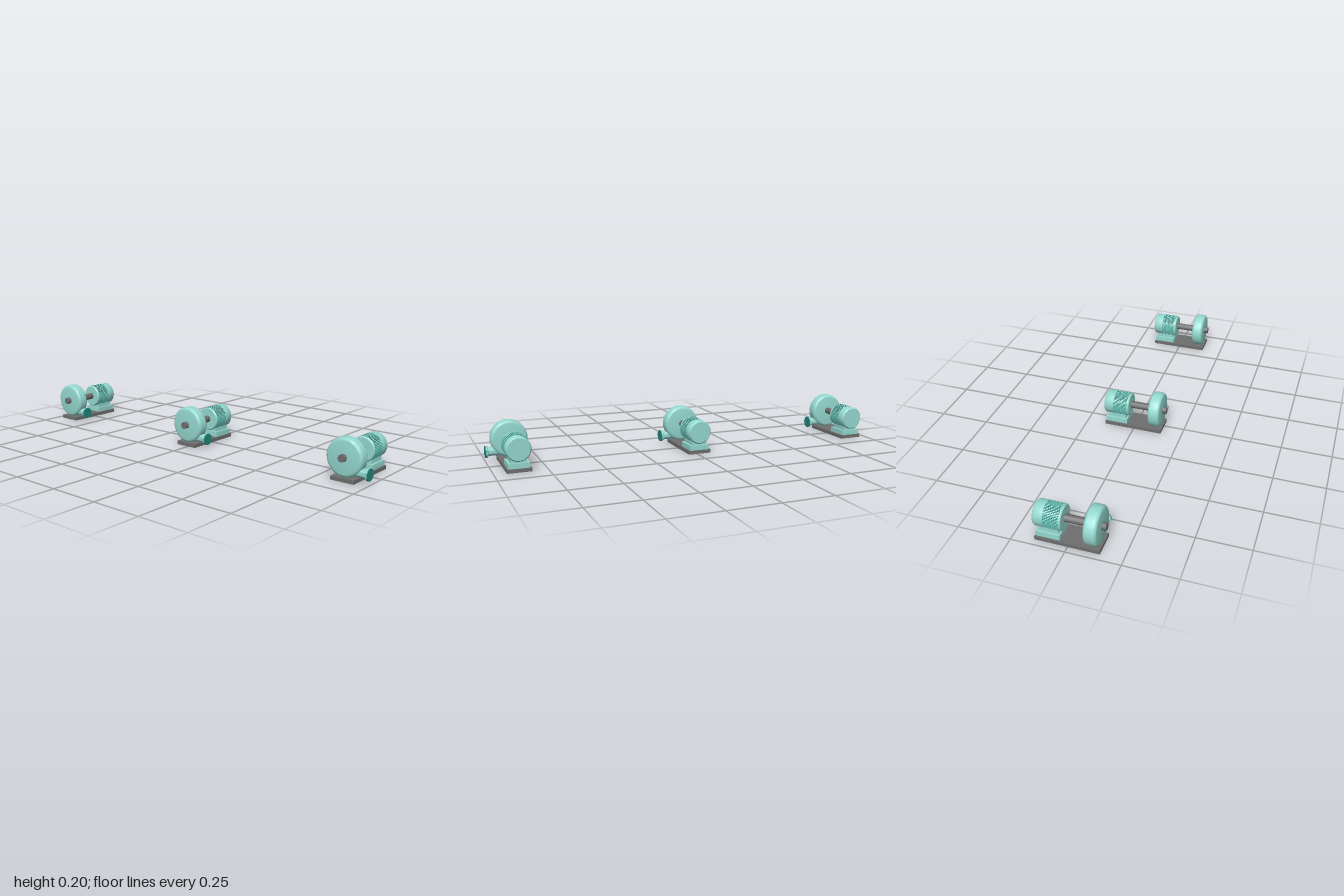
import * as THREE from 'three';
import { toCreasedNormals } from 'three/addons/utils/BufferGeometryUtils.js';

const paint = (name, color) => {
  const m = new THREE.MeshStandardMaterial({ color });
  m.name = name;
  return m;
};

// Solid of revolution from [radius, position] pairs, laid along z or x.
function turned(profile, axis, sides, crease = 0.6) {
  const g = new THREE.LatheGeometry(profile.map(([r, p]) => new THREE.Vector2(r, p)), sides);
  if (axis === 'z') g.rotateX(Math.PI / 2);
  else g.rotateZ(-Math.PI / 2);
  return toCreasedNormals(g, crease);
}

export function createModel() {
  const teal = paint('light teal', 0x94d8cf);
  const darkTeal = paint('dark teal', 0x22887d);
  const grey = paint('steel grey', 0x6e6e6e);

  const AXIS_Y = 0.109;
  const pump = new THREE.Group();
  const add = (name, geometry, material, x = 0, y = 0, z = 0, parent = pump) => {
    const mesh = new THREE.Mesh(geometry, material);
    mesh.name = name;
    mesh.position.set(x, y, z);
    parent.add(mesh);
    return mesh;
  };
  const box = (name, w, y0, y1, z0, z1, material) =>
    add(name, new THREE.BoxGeometry(w, y1 - y0, z1 - z0), material, 0, (y0 + y1) / 2, (z0 + z1) / 2);

  // Base plate and stepped motor foot
  box('basePlate', 0.116, 0, 0.018, -0.152, 0.145, grey);
  box('motorFootLower', 0.1, 0.018, 0.043, -0.149, -0.038, teal);
  box('motorFootUpper', 0.076, 0.043, 0.062, -0.14, -0.046, teal);

  // Drive shaft through the casing
  add('shaft', turned([[0, -0.035], [0.018, -0.035], [0.018, 0.16], [0, 0.16]], 'z', 8, 1), grey, 0, AXIS_Y);

  // Round pump casing with rolled edges
  const R = 0.089, r = 0.014, casing = [[0, 0.08]];
  for (const [z, start] of [[0.08 + r, -Math.PI / 2], [0.14 - r, 0]]) {
    for (let i = 0; i <= 4; i++) {
      const a = start + (i * Math.PI) / 8;
      casing.push([R - r + r * Math.cos(a), z + r * Math.sin(a)]);
    }
  }
  casing.push([0, 0.14]);
  add('pumpCasing', turned(casing, 'z', 40), teal, 0, AXIS_Y - 0.001);

  // Outlet pipe with flared mouth and dark end face
  add('outletPipe', turned([[0, 0], [0.021, 0], [0.021, 0.09], [0.023, 0.102], [0.029, 0.106], [0.029, 0.112], [0, 0.112]], 'x', 24), teal, 0, 0.047, 0.109);
  add('outletFace', turned([[0, 0.112], [0.029, 0.112], [0.029, 0.116], [0, 0.116]], 'x', 24), darkTeal, 0, 0.047, 0.109);

  // Motor end bells and dark finned core
  add('motorFrontBell', turned([[0, -0.039], [0.059, -0.039], [0.059, -0.033], [0.055, -0.028], [0, -0.028]], 'z', 32), teal, 0, AXIS_Y);
  add('motorRearBell', turned([[0, -0.158], [0.053, -0.158], [0.058, -0.152], [0.059, -0.15], [0.059, -0.11], [0, -0.11]], 'z', 32), teal, 0, AXIS_Y);
  add('motorCore', turned([[0, -0.111], [0.051, -0.111], [0.051, -0.038], [0, -0.038]], 'z', 32), darkTeal, 0, AXIS_Y);

  // Cooling fins: pale outer edge, dark flanks
  const fins = new THREE.Group();
  fins.name = 'coolingFins';
  fins.position.y = AXIS_Y;
  pump.add(fins);
  const FINS = 56;
  const finGeometry = new THREE.BoxGeometry(0.0038, 0.011, 0.072).translate(0, 0.054, -0.0745);
  const finPaint = [darkTeal, darkTeal, teal, darkTeal, darkTeal, darkTeal];
  for (let i = 0; i < FINS; i++) {
    add('coolingFin', finGeometry, finPaint, 0, 0, 0, fins).rotation.z = (i / FINS) * Math.PI * 2;
  }

  // Three identical pumps in a row
  const model = new THREE.Group();
  model.name = 'pumpRow';
  [-0.911, -0.0135, 0.884].forEach((x) => {
    const unit = pump.clone();
    unit.name = 'pumpUnit';
    unit.position.x = x;
    model.add(unit);
  });
  return model;
}
